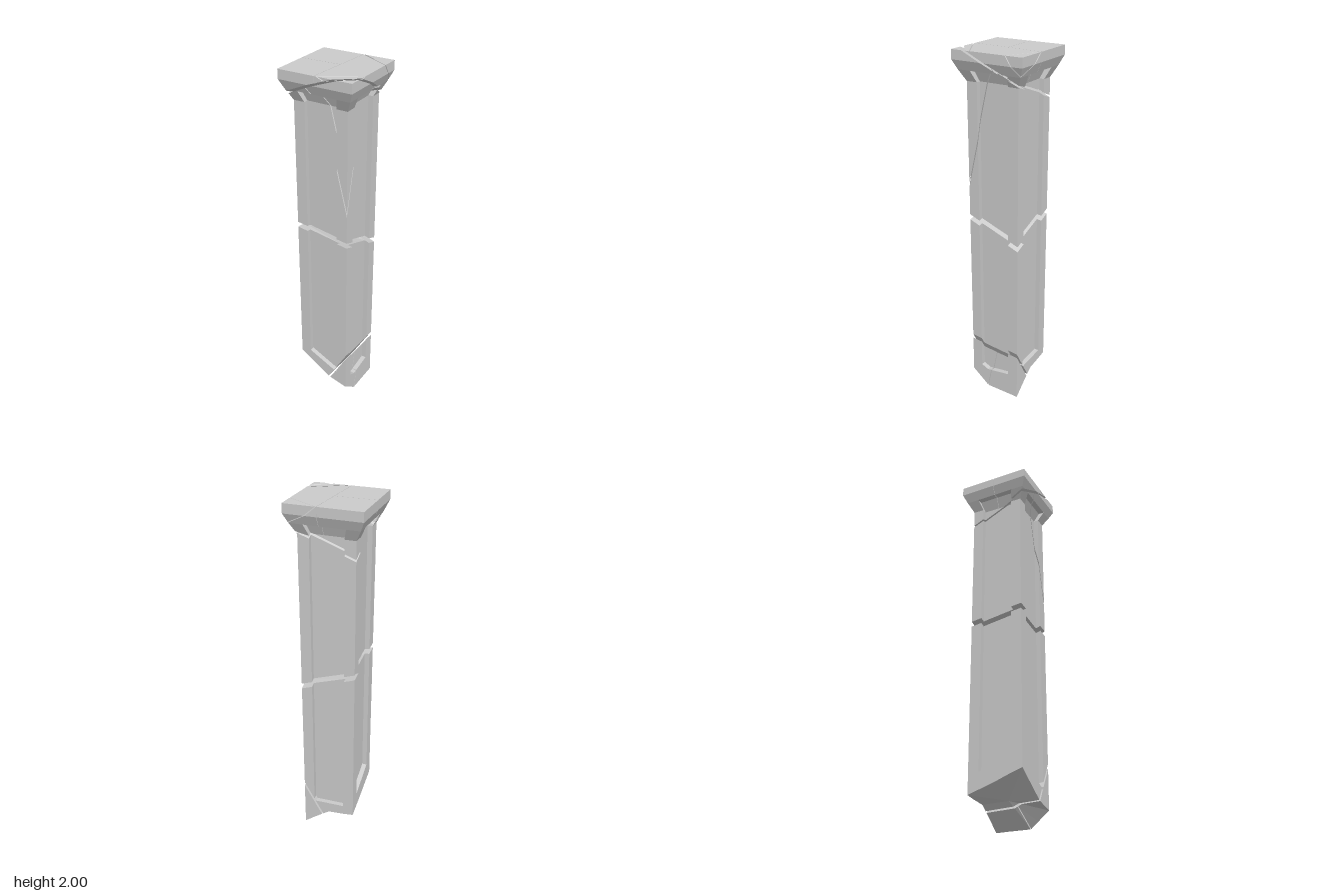
import * as THREE from 'three';

const H = 0.153, P = 0.092, DEPTH = 0.027;      // shaft half width, panel half width, panel depth
const MID = [0.04, -0.05, 0, 0];                // bend of the broken edge on front, +x, back, -x
const V = (x, y, z) => new THREE.Vector3(x, y, z);

// One square cross-section with a panel on each side; height(side, point, x, z) gives y
function ring(height, recessed, s = 1) {
  const pts = [];
  for (let k = 0; k < 4; k++) {
    const d = recessed ? H - DEPTH : H, m = MID[k];
    [[-H, H, 0], [-P, H, 1], [-P, d, 1], [m, d, 2], [P, d, 3], [P, H, 3]].forEach(([t, o, j]) => {
      const [x, z] = [[t, o], [o, -t], [-t, -o], [-o, t]][k];
      pts.push(V(x * s, height(k, j, x, z), z * s));
    });
  }
  return pts;
}

const area = (a, b, c) => b.clone().sub(a).cross(c.clone().sub(a));
function addTri(tris, a, b, c) {
  if (area(a, b, c).length() > 1e-10) tris.push([a, b, c]);
}

// Fill a closed loop so that it faces along n
function fill(tris, loop, n) {
  const u = V(n.y, n.z, n.x).cross(n).normalize(), v = n.clone().cross(u);
  const flat = loop.map(p => new THREE.Vector2(p.dot(u), p.dot(v)));
  for (const [a, b, c] of THREE.ShapeUtils.triangulateShape(flat, [])) {
    const t = [loop[a], loop[b], loop[c]];
    if (area(...t).dot(n) < 0) t.reverse();
    addTri(tris, ...t);
  }
}

function loft(rings) {
  const tris = [], n = rings[0].length;
  for (let r = 0; r + 1 < rings.length; r++) {
    for (let i = 0; i < n; i++) {
      const j = (i + 1) % n, lo = rings[r], hi = rings[r + 1];
      addTri(tris, lo[i], lo[j], hi[j]);
      addTri(tris, lo[i], hi[j], hi[i]);
    }
  }
  return tris;
}

// Keep the part of a solid behind the plane n.p = d and close the cut
function clip(tris, n, d) {
  const out = [], next = new Map();
  const key = p => p.toArray().map(c => Math.round(c * 1e5)).join();
  for (const t of tris) {
    const poly = [], cut = [];
    t.forEach((a, i) => {
      const b = t[(i + 1) % 3], da = n.dot(a) - d, db = n.dot(b) - d;
      if (da < 0) poly.push(a);
      if ((da < 0) !== (db < 0)) {
        // always interpolate from the inner end so neighbours agree
        const q = da < 0 ? a.clone().lerp(b, da / (da - db)) : b.clone().lerp(a, db / (db - da));
        poly.push(q);
        cut[da < 0 ? 0 : 1] = q;
      }
    });
    for (let i = 1; i + 1 < poly.length; i++) addTri(out, poly[0], poly[i], poly[i + 1]);
    if (cut.length === 2 && key(cut[0]) !== key(cut[1])) next.set(key(cut[1]), cut);
  }
  while (next.size) {
    const loop = [];
    let k = next.keys().next().value;
    while (next.has(k)) {
      const [to, from] = next.get(k);
      next.delete(k);
      loop.push(from);
      k = key(to);
    }
    if (loop.length > 2) fill(out, loop, n);
  }
  return out;
}

// Break a solid along the plane through three points; returns [side away from +y or +x, other side]
function split(tris, a, b, c, gap) {
  const n = area(V(...a), V(...b), V(...c)).normalize();
  if ((Math.abs(n.y) > 0.05 ? n.y : n.x) < 0) n.negate();
  const d = n.dot(V(...a));
  return [clip(tris, n, d - gap / 2), clip(tris, n.clone().negate(), -d - gap / 2)];
}

export function createModel() {
  const group = new THREE.Group();
  const material = new THREE.MeshStandardMaterial({ color: 0xcccccc, flatShading: true });
  const add = (name, tris) => {
    if (!tris.length) return;
    const g = new THREE.BufferGeometry().setFromPoints(tris.flat());
    g.computeVertexNormals();
    const mesh = new THREE.Mesh(g, material);
    mesh.name = name;
    group.add(mesh);
  };

  // Heights of the broken foot and of the panel sills: corner, panel edge, bend, panel edge
  const foot = [[0.245, 0.205, 0.12, 0.106], [0.09, 0.04, 0.004, 0.002],
    [0, 0.05, 0.12, 0.13], [0.14, 0.16, 0.19, 0.225]];
  const sill = [[0.32, 0.27, 0.205, 0.18], [0.25, 0.14, 0.12, 0.14],
    [0.2, 0.18, 0.185, 0.19], [0.25, 0.25, 0.295, 0.34]];
  const table = t => (k, j) => t[k][j];
  const level = y => () => y;

  // Slanting break half way up
  const breakAt = dy => (k, j, x, z) => {
    const u = (x + H) / (2 * H), v = (z + H) / (2 * H), mix = THREE.MathUtils.lerp;
    return mix(mix(1.075, 0.96, u), mix(1.12, 1.08, u), v) + dy;
  };
  const up = V(0, 1, 0), down = V(0, -1, 0);
  const flatFill = (tris, loop, n) => {
    const ground = loop.map(p => new THREE.Vector2(p.x, p.z));
    for (const f of THREE.ShapeUtils.triangulateShape(ground, [])) {
      const t = f.map(i => loop[i]);
      if (area(...t).dot(n) < 0) t.reverse();
      addTri(tris, ...t);
    }
  };

  // Lower shaft
  const lowRings = [ring(table(foot), false), ring(table(sill), false),
    ring(table(sill), true), ring(breakAt(0), true)];
  const lower = loft(lowRings);
  flatFill(lower, lowRings[3], up);
  const core = V(0, 0.125, 0);
  lowRings[0].forEach((p, i, r) => addTri(lower, core, r[(i + 1) % r.length], p));

  // Upper shaft with flared capital
  const highRings = [ring(breakAt(0.03), true), ring(level(1.84), true),
    ring(level(1.9), true, 1.2), ring(level(1.9), false, 1.2),
    ring(level(1.95), false, 1.345), ring(level(2), false, 1.345)];
  const upper = loft(highRings);
  flatFill(upper, highRings[0], down);
  flatFill(upper, highRings[5], up);

  // Foot fragments at the +x side
  const [chip, lowerShaft] = split(lower, [0.04, 0.12, H], [H, 0.32, H], [H, 0.29, -H], 0.012);
  add('lowerShaft', lowerShaft);
  split(chip, [H, 0.2, 0.01], [H, 0, 0.05], [0, 0.1, 0.03], 0.004)
    .forEach(t => add('footFragment', t));

  // Crack under the capital and long splinter on the front corner
  const [shaft, head] = split(upper, [H, 1.92, 0], [H, 1.85, -H], [-H, 1.88, H], 0.01);
  split(shaft, [0, 1.9, H], [H, 1.28, H], [H, 1.92, 0], 0.004)
    .forEach((t, i) => add(i ? 'shaftSplinter' : 'upperShaft', t));

  // Capital: two corner chips, then hairline cracks
  const [body1, chipA] = split(head, [0.015, 2, 0.205], [0.205, 2, 0.095], [0.205, 1.92, 0.205], 0.003);
  const [body2, chipB] = split(body1, [0.035, 2, -0.205], [0.205, 2, -0.11], [0.2, 1.87, -0.2], 0.003);
  add('capitalChip', chipA);
  add('capitalChip', chipB);
  const [left, right] = split(body2, [0, 2, 0.205], [0.03, 2, -0.205], [0, 1.8, 0.205], 0.002);
  add('capitalBlock', right);
  split(left, [-0.205, 2, 0.001], [0, 2, -0.006], [0, 1.8, -0.006], 0.002)
    .forEach(t => add('capitalBlock', t));
  return group;
}
